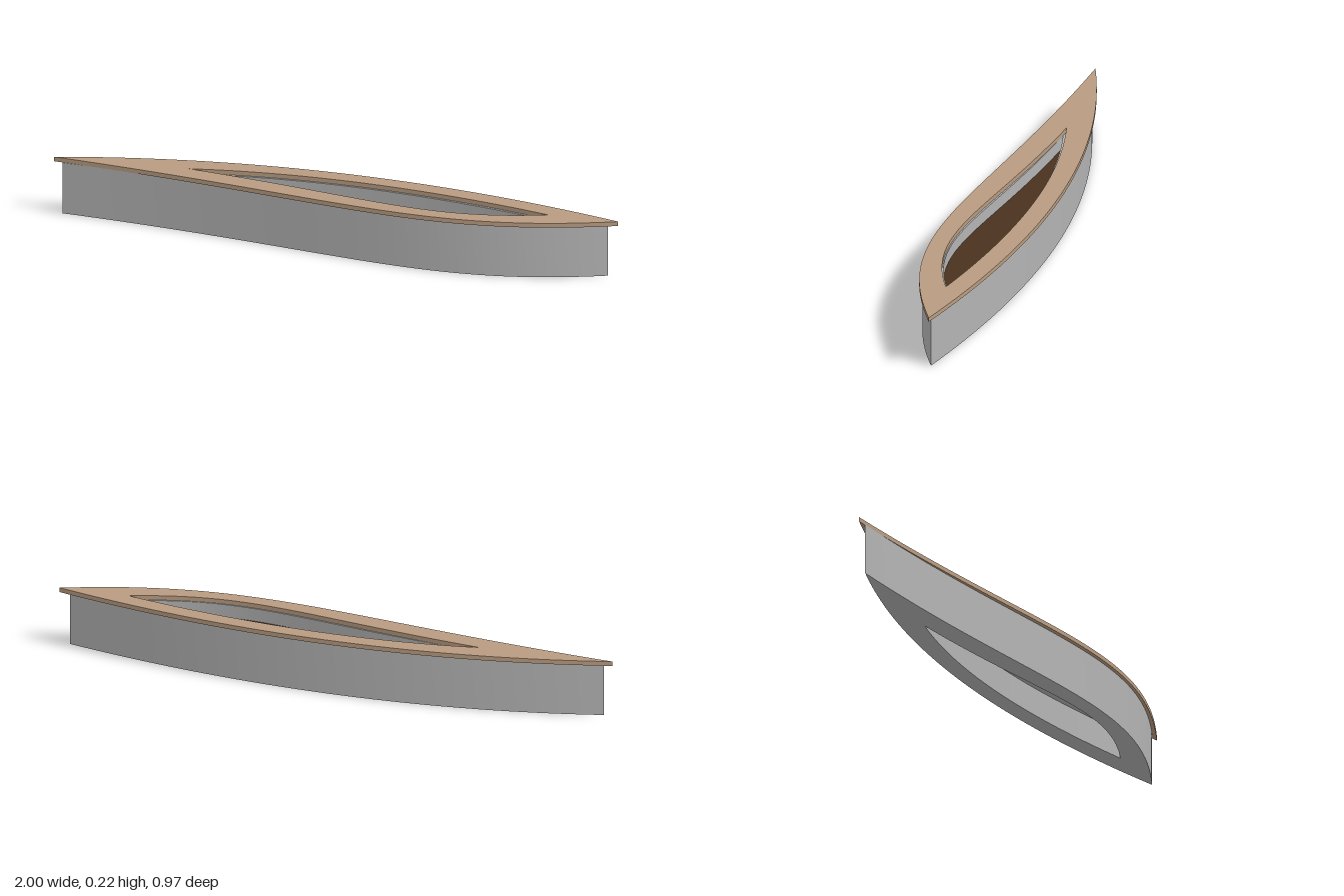
import * as THREE from 'three';
import { toCreasedNormals } from 'three/addons/utils/BufferGeometryUtils.js';

const wood = new THREE.MeshStandardMaterial({ name: 'wood', color: 0xb89b80 });
const concrete = new THREE.MeshStandardMaterial({ name: 'concrete', color: 0xb3b3b3 });
const soil = new THREE.MeshStandardMaterial({ name: 'soil', color: 0x4a321e });

// Leaf outlines as [x, z]: two pointed tips, with control points of the back and front curves
const outer = {
  tips: [[-1, 0.48], [1, -0.485]],
  back: [[-0.25, -0.275]],
  front: [[0.1, 0.045], [0.55, 0.1225]],
};
const inner = {
  tips: [[-0.55, 0.22], [0.76, -0.355]],
  back: [[-0.059, -0.18]],
  front: [[0.17, -0.035], [0.465, 0.01]],
};

// Narrow a leaf by a gap at the middle of both curves and give it new tips
function inset(leaf, gap, tips) {
  return {
    tips,
    back: leaf.back.map(([x, z]) => [x, z + gap * 2]),
    front: leaf.front.map(([x, z]) => [x, z - gap * 4 / 3]),
  };
}

// Counter-clockwise outline: along the front to the right tip, then back along the rear
function leafPoints({ tips, back, front }) {
  const [a, b, c, p, q] = [...tips, ...back, ...front].map(([x, z]) => new THREE.Vector2(x, -z));
  return [
    ...new THREE.CubicBezierCurve(a, p, q, b).getPoints(40).slice(0, -1),
    ...new THREE.QuadraticBezierCurve(b, c, a).getPoints(40).slice(0, -1),
  ];
}

// Upright slab with a leaf outline, optionally with a leaf opening
function slab(name, material, leaf, hole, bottom, top) {
  const shape = new THREE.Shape(leafPoints(leaf));
  if (hole) shape.holes.push(new THREE.Path(leafPoints(hole)));
  const geometry = new THREE.ExtrudeGeometry(shape, { depth: top - bottom, bevelEnabled: false });
  geometry.rotateX(-Math.PI / 2).translate(0, bottom, 0);
  const mesh = new THREE.Mesh(toCreasedNormals(geometry, 0.5), material);
  mesh.name = name;
  return mesh;
}

export function createModel() {
  const group = new THREE.Group();
  group.name = 'planterBench';
  const baseOuter = inset(outer, 0.018, [[-0.965, 0.469], [0.965, -0.465]]);
  const baseInner = inset(inner, 0.008, [[-0.52, 0.21], [0.735, -0.338]]);

  group.add(
    slab('planterWall', concrete, baseOuter, baseInner, 0, 0.199),
    slab('seatTop', wood, outer, inner, 0.199, 0.216),
    slab('planterFloor', concrete, baseInner, null, 0.11, 0.14),
    slab('soilBed', soil, baseInner, null, 0.14, 0.15),
  );
  return group;
}
